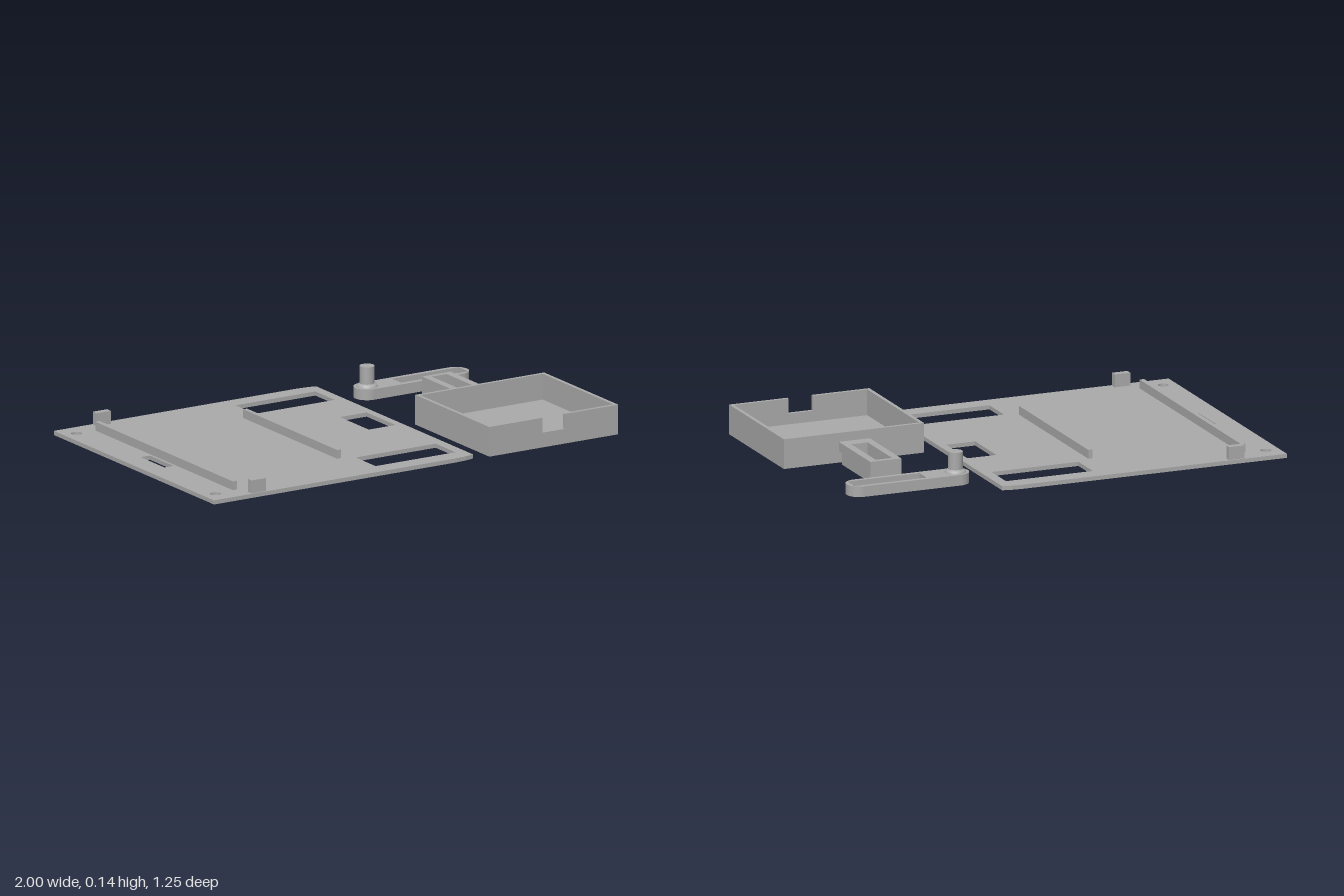
import * as THREE from 'three';

const grey = new THREE.MeshStandardMaterial({ color: 0xaaaaaa });
grey.name = 'grey plastic';

// Outlines are drawn in plan as [x, z]; the shape's y is -z
const trace = (path, pts) => {
  pts.forEach(([x, z], i) => (i ? path.lineTo(x, -z) : path.moveTo(x, -z)));
  path.closePath();
  return path;
};
const rect = (x0, x1, z0, z1) => [[x0, z0], [x0, z1], [x1, z1], [x1, z0]];
const rectHole = (...r) => trace(new THREE.Path(), rect(...r));
const roundHole = (x, z, r) => new THREE.Path().absarc(x, -z, r, 0, Math.PI * 2, true);

// Raises a plan shape from height y0 to y1
function slab(name, shape, y0, y1, holes = []) {
  shape.holes.push(...holes);
  const geo = new THREE.ExtrudeGeometry(shape, { depth: y1 - y0, bevelEnabled: false, curveSegments: 24 });
  geo.rotateX(-Math.PI / 2).translate(0, y0, 0);
  const mesh = new THREE.Mesh(geo, grey);
  mesh.name = name;
  return mesh;
}
const poly = (pts) => trace(new THREE.Shape(), pts);
const block = (name, r, y0, y1, holes) => slab(name, poly(rect(...r)), y0, y1, holes);

function group(name, ...parts) {
  const g = new THREE.Group();
  g.name = name;
  return g.add(...parts);
}

function basePlate() {
  const t = 0.018;
  // Outline with two gently eased corners at the +x end
  const outline = poly([
    [-1, -0.628], [-1, 0.625], [0.2, 0.625], [0.25, 0.621], [0.29, 0.612],
    [0.29, -0.615], [0.25, -0.624], [0.2, -0.628],
  ]);
  const plate = slab('basePlate', outline, 0, t, [
    roundHole(-0.94, -0.545, 0.023),
    roundHole(-0.94, 0.542, 0.023),
    rectHole(-0.907, -0.862, -0.095, 0.09),
    rectHole(-0.15, 0.245, -0.55, -0.398),
    rectHole(-0.15, 0.245, 0.39, 0.545),
    rectHole(0.123, 0.255, -0.165, 0.06),
  ]);
  return group('base', plate,
    block('longRib', [-0.85, -0.829, -0.54, 0.535], t, 0.056),
    block('shortRib', [-0.226, -0.207, -0.37, 0.365], t, 0.056),
    block('rearStop', [-0.81, -0.74, -0.622, -0.592], t, 0.074),
    block('frontStop', [-0.81, -0.74, 0.589, 0.619], t, 0.074));
}

function tray() {
  const outer = [0.362, 1, 0.045, 0.625];
  // Upper wall is open along the front notch
  const upper = poly([
    [0.625, 0.625], [0.362, 0.625], [0.362, 0.045], [1, 0.045], [1, 0.625], [0.735, 0.625],
    [0.735, 0.61], [0.984, 0.61], [0.984, 0.06], [0.378, 0.06], [0.378, 0.61], [0.625, 0.61],
  ]);
  return group('tray',
    block('trayFloor', outer, 0, 0.017),
    block('trayLowerWall', outer, 0.017, 0.064, [rectHole(0.378, 0.984, 0.06, 0.61)]),
    slab('trayUpperWall', upper, 0.064, 0.129));
}

function bracket() {
  const hole = () => [rectHole(0.642, 0.716, -0.268, -0.01)];
  // The lower half stops short of the tray, leaving a notch underneath
  return group('bracket',
    block('bracketLower', [0.609, 0.75, -0.29, 0.01], 0, 0.05, hole()),
    block('bracketUpper', [0.609, 0.75, -0.29, 0.045], 0.05, 0.09, hole()));
}

function arm() {
  const z = -0.422, r = 0.057, xa = 0.419, xb = 0.858, px = 0.42;
  const stadium = () => {
    const s = new THREE.Shape();
    s.absarc(xb, -z, r, -Math.PI / 2, Math.PI / 2, false);
    s.absarc(xa, -z, r, Math.PI / 2, Math.PI * 1.5, false);
    s.closePath();
    return s;
  };
  // Turned post with a flared foot
  const profile = [[0.045, 0.046], [0.043, 0.053], [0.031, 0.06], [0.031, 0.06], [0.031, 0.135], [0.031, 0.135], [0, 0.135]];
  const post = new THREE.Mesh(
    new THREE.LatheGeometry(profile.map(([a, b]) => new THREE.Vector2(a, b)), 40), grey);
  post.name = 'armPost';
  post.position.set(px, 0, z);
  return group('arm',
    slab('armFloor', stadium(), 0, 0.022, [roundHole(0.733, z, 0.027)]),
    slab('armRim', stadium(), 0.022, 0.046, [rectHole(0.567, 0.896, z - 0.037, z + 0.037)]),
    post);
}

export function createModel() {
  return group('partsSet', basePlate(), tray(), bracket(), arm());
}
